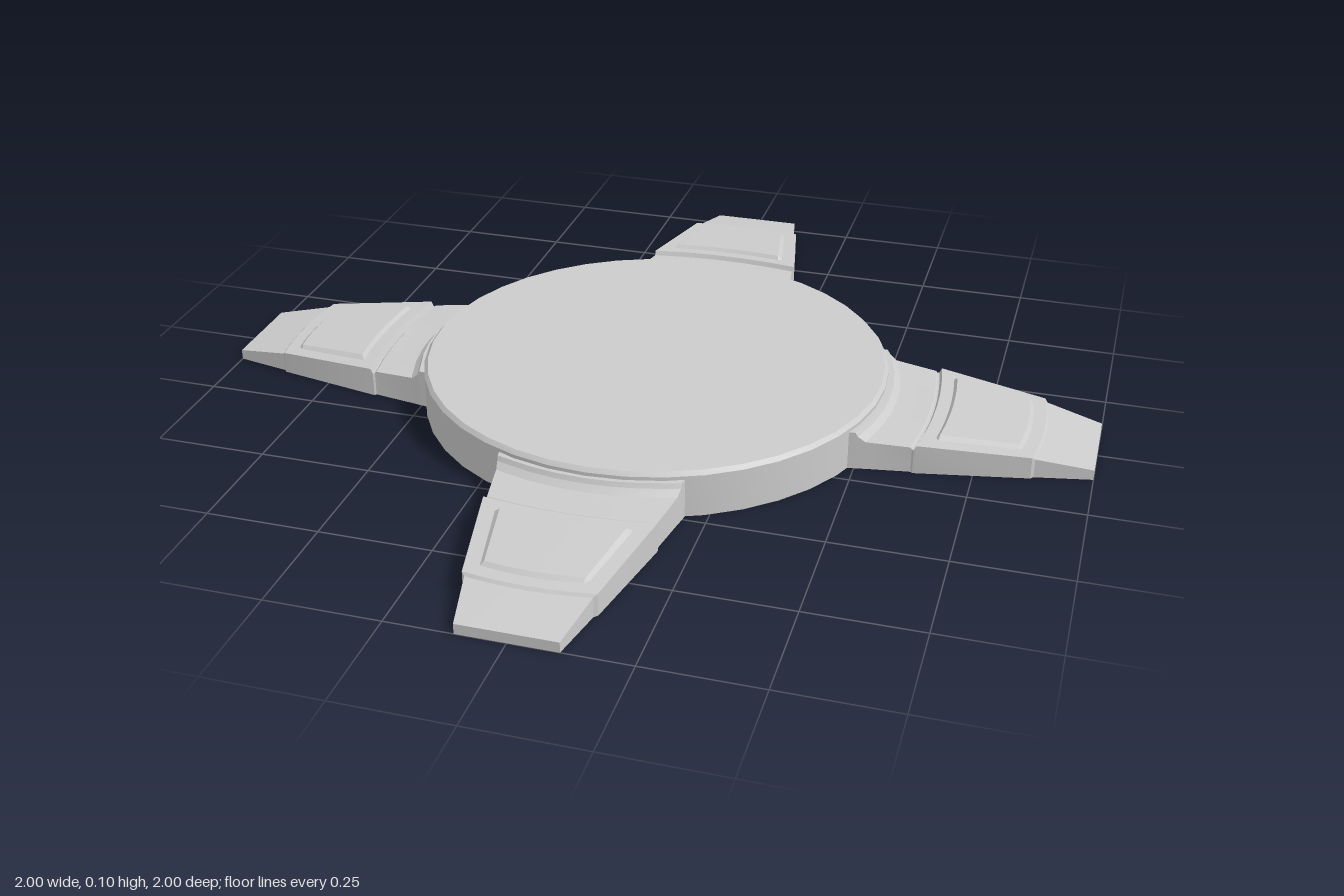
import * as THREE from 'three';
import { toCreasedNormals } from 'three/addons/utils/BufferGeometryUtils.js';

const grey = new THREE.MeshStandardMaterial({ color: 0xcccccc });

// Closed loft along +z. Each section: [z, bow, y, halfWidth, rim]
// bow pulls the edges back toward the hub; rim is how far the outer edge drops.
function loft(sections, floor, inset = 0.06) {
  const cols = [-1, -1 + inset, -0.6, -0.3, 0, 0.3, 0.6, 1 - inset, 1];
  const n = cols.length * 2;
  const pos = [], idx = [];
  for (const [z, bow, y, hw, rim = 0] of sections) {
    for (const s of cols) pos.push(s * hw, Math.abs(s) === 1 ? y - rim : y, z - bow * s * s);
    for (const s of [...cols].reverse()) pos.push(s * hw, floor, z - bow * s * s);
  }
  for (let i = 0; i < sections.length - 1; i++) {
    for (let j = 0; j < n; j++) {
      const a = i * n + j, b = i * n + (j + 1) % n;
      idx.push(a, a + n, b, b, a + n, b + n);
    }
  }
  // end caps, bridged between top and floor
  const last = (sections.length - 1) * n;
  for (let j = 0; j < cols.length - 1; j++) {
    const k = n - 1 - j;
    idx.push(last + j, last + k, last + j + 1, last + j + 1, last + k, last + k - 1);
    idx.push(j, j + 1, k, j + 1, k - 1, k);
  }
  const g = new THREE.BufferGeometry();
  g.setAttribute('position', new THREE.Float32BufferAttribute(pos, 3));
  g.setIndex(idx);
  return toCreasedNormals(g, 0.35);
}

function part(name, geometry) {
  const mesh = new THREE.Mesh(geometry, grey);
  mesh.name = name;
  return mesh;
}

export function createModel() {
  const model = new THREE.Group();
  model.name = 'fourArmBase';

  // round hub with a small chamfer on its top edge
  const profile = [[0, 0], [0.528, 0], [0.528, 0.096], [0.52, 0.105], [0, 0.105]]
    .map(([x, y]) => new THREE.Vector2(x, y));
  model.add(part('hub', toCreasedNormals(new THREE.LatheGeometry(profile, 40), 0.35)));

  // arm: collar against the hub, groove, raised middle, sloping toe
  const armGeometry = loft([
    [0.5, 0.04, 0.088, 0.205],
    [0.537, 0.037, 0.088, 0.2],
    [0.542, 0.036, 0.078, 0.199],
    [0.556, 0.034, 0.066, 0.196],
    [0.632, 0.016, 0.06, 0.181],
    [0.636, 0.016, 0.056, 0.181],
    [0.64, 0.016, 0.056, 0.184],
    [0.645, 0.016, 0.067, 0.184],
    [0.882, 0.012, 0.05, 0.137],
    [0.888, 0.012, 0.044, 0.13],
    [1, 0, 0.023, 0.105],
  ], 0);

  // bevelled panel on the raised middle
  const panelGeometry = loft([
    [0.672, 0.01, 0.064, 0.146],
    [0.68, 0.01, 0.073, 0.144, 0.009],
    [0.846, 0.01, 0.06, 0.112, 0.008],
    [0.856, 0.01, 0.051, 0.11],
  ], 0.045, 0.08);

  for (let i = 0; i < 4; i++) {
    const arm = new THREE.Group();
    arm.name = 'arm' + (i + 1);
    arm.add(part('armBody', armGeometry), part('armPanel', panelGeometry));
    arm.rotation.y = i * Math.PI / 2;
    model.add(arm);
  }
  return model;
}
